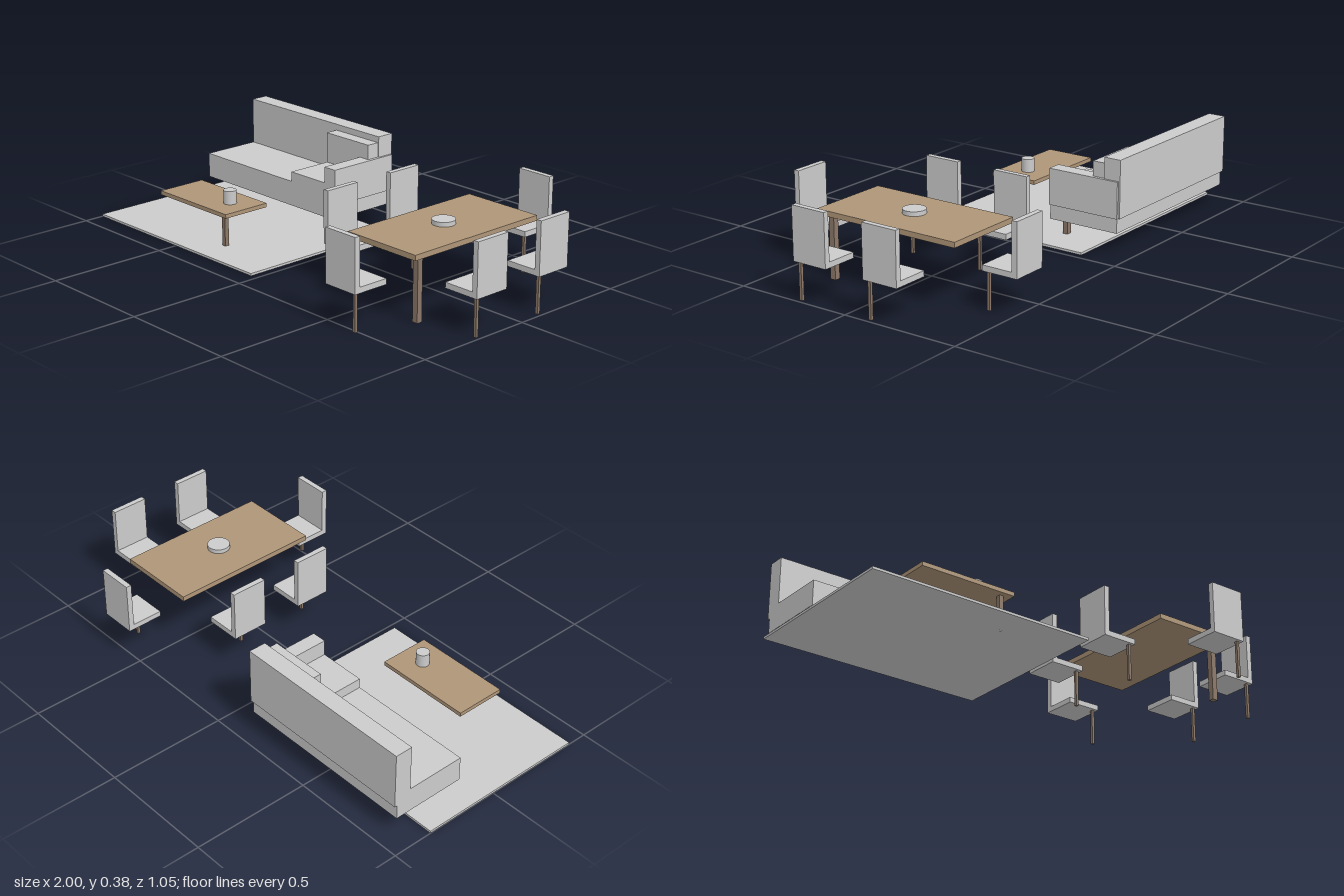
import * as THREE from 'three';

const fabric = new THREE.MeshStandardMaterial({ color: 0xcccccc });
const wood = new THREE.MeshStandardMaterial({ color: 0xae9578 });
const darkWood = new THREE.MeshStandardMaterial({ color: 0x8b7868 });

// Box given by its [min, max] range on each axis
function box(name, x, y, z, material = fabric) {
  const mesh = new THREE.Mesh(
    new THREE.BoxGeometry(x[1] - x[0], y[1] - y[0], z[1] - z[0]), material);
  mesh.position.set((x[0] + x[1]) / 2, (y[0] + y[1]) / 2, (z[0] + z[1]) / 2);
  mesh.name = name;
  return mesh;
}

function disc(name, radius, x, y, z) {
  const mesh = new THREE.Mesh(
    new THREE.CylinderGeometry(radius, radius, y[1] - y[0], 32), fabric);
  mesh.position.set(x, (y[0] + y[1]) / 2, z);
  mesh.name = name;
  return mesh;
}

function group(name, ...parts) {
  const g = new THREE.Group();
  g.name = name;
  g.add(...parts);
  return g;
}

// Chair with its backrest on the side given by (dx, dz)
function chair(x, z, dx, dz) {
  const h = 0.0775, t = 0.023;
  const range = d => d > 0 ? [h - t, h] : d < 0 ? [-h, t - h] : [-h, h];
  const g = group('chair',
    box('chairSeat', dx ? [dx > 0 ? -h : t - h, dx > 0 ? h - t : h] : [-h, h], [0.153, 0.176],
      dz ? [dz > 0 ? -h : t - h, dz > 0 ? h - t : h] : [-h, h]),
    box('chairBack', range(dx), [0.153, 0.369], range(dz)),
    // the single leg always stands at the same corner
    box('chairLeg', [0.053, 0.065], [0, 0.153], [0.053, 0.065], darkWood));
  g.position.set(x, 0, z);
  return g;
}

export function createModel() {
  const model = group('livingAndDiningSet');

  model.add(box('rug', [-1, -0.03], [0, 0.01], [-0.325, 0.415]));

  model.add(group('sofa',
    box('sofaBase', [-0.925, -0.127], [0.082, 0.187], [-0.425, -0.108]),
    box('sofaBack', [-0.925, -0.127], [0.144, 0.384], [-0.437, -0.362]),
    box('sofaArm', [-0.181, -0.118], [0.144, 0.296], [-0.43, -0.108]),
    box('seatCushion', [-0.382, -0.181], [0.187, 0.229], [-0.362, -0.108]),
    box('backCushion', [-0.382, -0.132], [0.229, 0.358], [-0.362, -0.307]),
    box('sofaLeg', [-0.205, -0.182], [0.005, 0.076], [-0.155, -0.132], darkWood)));

  model.add(group('coffeeTable',
    box('coffeeTableTop', [-0.722, -0.303], [0.141, 0.158], [0.097, 0.312], wood),
    box('coffeeTableLeg', [-0.355, -0.337], [0, 0.141], [0.27, 0.289], darkWood),
    disc('mug', 0.027, -0.407, [0.158, 0.214], 0.203)));

  model.add(group('diningTable',
    box('diningTableTop', [0.421, 0.773], [0.257, 0.279], [-0.325, 0.325], wood),
    box('diningTableLeg', [0.725, 0.75], [0, 0.257], [0.264, 0.288], darkWood),
    disc('bowl', 0.046, 0.597, [0.279, 0.297], 0)));

  // One chair at each end, two along each side
  for (const s of [-1, 1]) {
    model.add(chair(0.597, s * 0.449, 0, s));
    for (const side of [-1, 1])
      model.add(chair(0.599 + side * 0.322, s * 0.165, side, 0));
  }
  return model;
}
